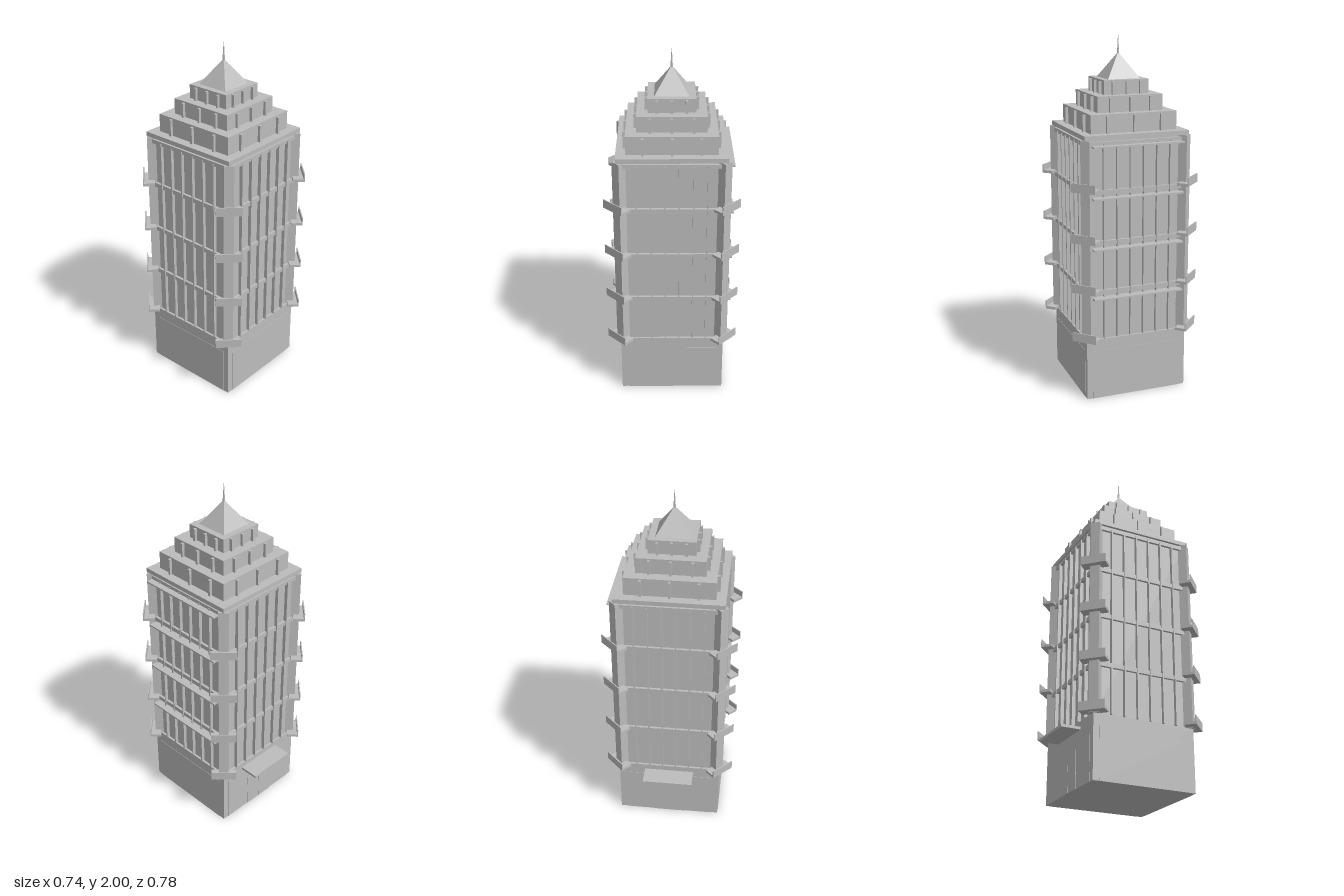
import * as THREE from 'three';

export function createModel() {
  const model = new THREE.Group();
  model.name = 'steppedTower';
  const tower = new THREE.Group();
  tower.name = 'tower';
  tower.position.z = 0.0125;
  model.add(tower);
  const stone = new THREE.MeshStandardMaterial({ color: 0xbcbcbc });
  stone.name = 'stone grey';

  function add(parent, name, geometry, x, y, z) {
    const mesh = new THREE.Mesh(geometry, stone);
    mesh.name = name;
    mesh.position.set(x, y, z);
    parent.add(mesh);
    return mesh;
  }
  // Box given by its centre in x and z and its bottom and top heights
  function box(parent, name, w, d, y0, y1, x = 0, z = 0) {
    return add(parent, name, new THREE.BoxGeometry(w, y1 - y0, d), x, (y0 + y1) / 2, z);
  }
  function turned(name, angle) {
    const g = new THREE.Group();
    g.name = name;
    g.rotation.y = angle;
    tower.add(g);
    return g;
  }

  // Main masses
  box(tower, 'base', 0.592, 0.592, 0, 0.352);
  box(tower, 'shaft', 0.566, 0.566, 0.352, 1.475);
  box(tower, 'roofSlab', 0.6, 0.6, 1.475, 1.5);

  // Stepped crown
  const tiers = [
    { half: 0.247, y0: 1.5, y1: 1.602, gap: 0.155 },
    { half: 0.188, y0: 1.602, y1: 1.69, gap: 0.116 },
    { half: 0.129, y0: 1.69, y1: 1.768, gap: 0.079 },
  ];
  tiers.forEach((t) => box(tower, 'crownTier', t.half * 2, t.half * 2, t.y0, t.y1));

  // Pyramid roof and spire
  const roof = new THREE.ConeGeometry(0.093 * Math.SQRT2, 0.14, 4, 1).toNonIndexed();
  roof.rotateY(Math.PI / 4);
  roof.computeVertexNormals();
  add(tower, 'pyramidRoof', roof, 0, 1.838, 0);
  add(tower, 'spire', new THREE.CylinderGeometry(0.001, 0.008, 0.12, 8), 0, 1.94, 0);

  const floors = [0.355, 0.637, 0.919, 1.2];
  const sides = ['front', 'left', 'back', 'right'];
  sides.forEach((side, i) => {
    const face = turned(side + 'Facade', i * Math.PI / 2);

    // Window wall: mullions, edge frames and floor bands
    for (let k = -5; k <= 5; k += 2) {
      box(face, 'mullion', 0.007, 0.024, 0.355, 1.455, k * 0.0385, 0.291);
    }
    for (const s of [-1, 1]) box(face, 'edgeFrame', 0.01, 0.014, 0.355, 1.455, s * 0.262, 0.288);
    floors.slice(1).forEach((y) => box(face, 'floorBand', 0.53, 0.016, y - 0.022, y + 0.003, 0, 0.29));
    box(face, 'cornice', 0.53, 0.016, 1.442, 1.466, 0, 0.29);

    // Shallow plate on the base
    box(face, 'basePanel', 0.52, 0.006, 0.0, 0.285, 0, 0.295);

    // Small buttresses around the crown
    tiers.forEach((t) => {
      for (const s of [-1, 0, 1]) {
        box(face, 'buttress', 0.013, 0.018, t.y0, t.y1 - 0.008, s * t.gap, t.half + 0.007);
      }
    });

    // Angled corner pier with its balconies
    const corner = turned('corner', i * Math.PI / 2 + Math.PI / 4);
    box(corner, 'cornerPier', 0.054, 0.06, 0.352, 1.475, 0, 0.393);
    floors.forEach((y) => {
      box(corner, 'balconyFloor', 0.144, 0.066, y, y + 0.016, 0, 0.42);
      box(corner, 'balconyRail', 0.144, 0.006, y + 0.016, y + 0.05, 0, 0.45);
    });
  });

  // Sunshades on the +x side
  floors.forEach((y) => box(tower, 'sunshade', 0.055, 0.522, y + 0.237, y + 0.246, 0.3075, 0));

  // Entrance canopy and door leaves at the back
  box(tower, 'canopy', 0.288, 0.12, 0.305, 0.32, 0, -0.347);
  for (const s of [-1, 1]) box(tower, 'doorLeaf', 0.096, 0.004, 0.0, 0.21, s * 0.049, -0.299);

  return model;
}
